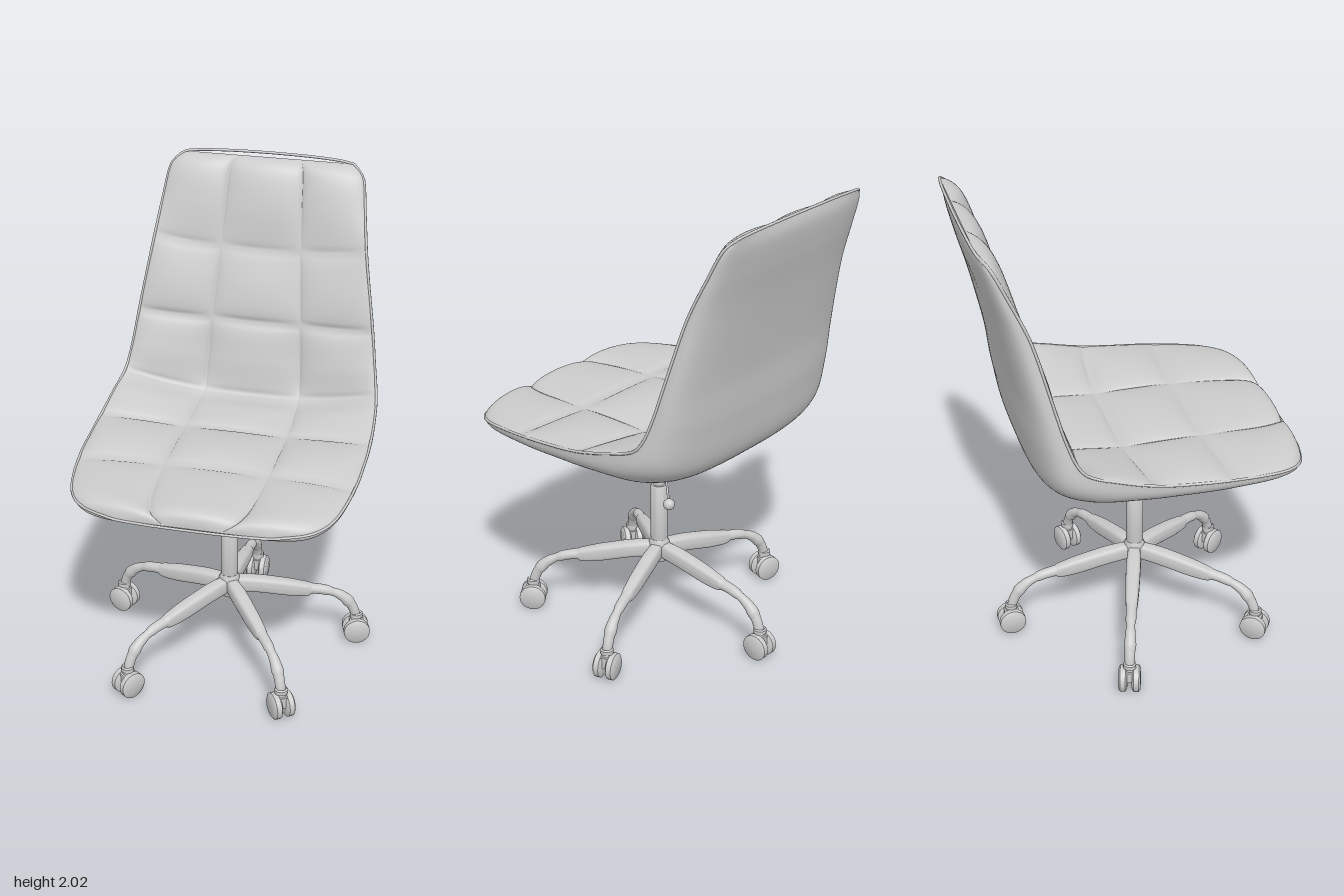
import * as THREE from 'three';
import { toCreasedNormals } from 'three/addons/utils/BufferGeometryUtils.js';

const material = new THREE.MeshStandardMaterial({ color: 0xcccccc });
const CENTRE_Z = 0.055; // column axis

function mesh(name, geometry, parent) {
  const m = new THREE.Mesh(geometry, material);
  m.name = name;
  parent.add(m);
  return m;
}

// Lathe with crisp edges, profile listed bottom to top as [radius, y]
function turned(profile, segments = 32) {
  const points = profile.map(([r, y]) => new THREE.Vector2(r, y));
  return toCreasedNormals(new THREE.LatheGeometry(points, segments), 0.6);
}

// Surface from a function of (row, column)
function surface(rows, cols, point, flip = false) {
  const position = [], index = [];
  for (let i = 0; i <= rows; i++)
    for (let j = 0; j <= cols; j++) position.push(...point(i, j));
  for (let i = 0; i < rows; i++)
    for (let j = 0; j < cols; j++) {
      const a = i * (cols + 1) + j, b = a + 1, c = a + cols + 1, d = c + 1;
      if (flip) index.push(a, c, b, b, c, d);
      else index.push(a, b, c, b, d, c);
    }
  const g = new THREE.BufferGeometry();
  g.setAttribute('position', new THREE.Float32BufferAttribute(position, 3));
  g.setIndex(index);
  g.computeVertexNormals();
  return g;
}

// Sections from seat front to top of backrest:
// rim z,y / cushion centre z,y / shell centre z,y / half width
const SECTIONS = [
  [0.66, 0.94, 0.66, 0.94, 0.66, 0.94, 0.30],
  [0.62, 0.955, 0.63, 0.97, 0.62, 0.905, 0.45],
  [0.52, 0.972, 0.52, 0.98, 0.50, 0.893, 0.53],
  [0.31, 0.995, 0.28, 0.995, 0.30, 0.890, 0.568],
  [0.14, 1.01, 0.11, 0.995, 0.10, 0.888, 0.575],
  [-0.02, 1.03, -0.06, 0.995, -0.10, 0.888, 0.575],
  [-0.18, 1.07, -0.22, 1.005, -0.30, 0.893, 0.565],
  [-0.30, 1.115, -0.345, 1.03, -0.44, 0.975, 0.55],
  [-0.355, 1.22, -0.40, 1.18, -0.49, 1.17, 0.53],
  [-0.395, 1.36, -0.425, 1.34, -0.515, 1.36, 0.51],
  [-0.435, 1.52, -0.465, 1.49, -0.55, 1.53, 0.483],
  [-0.48, 1.68, -0.505, 1.64, -0.59, 1.70, 0.457],
  [-0.55, 1.84, -0.55, 1.82, -0.628, 1.84, 0.433],
  [-0.605, 1.955, -0.60, 1.955, -0.65, 1.945, 0.412],
  [-0.645, 2.0, -0.645, 2.0, -0.645, 2.0, 0.36],
];
const ROW_SEAMS = [0, 3, 5, 7, 9, 11, 14];
const COLUMN_SEAMS = [-1, -0.38, 0.38, 1];

// Catmull-Rom blend of the section values
function section(s) {
  const last = SECTIONS.length - 1;
  const i = Math.min(Math.floor(s), last - 1), t = s - i;
  const [p0, p1, p2, p3] = [i - 1, i, i + 1, i + 2]
    .map((k) => SECTIONS[Math.max(0, Math.min(last, k))]);
  return p1.map((b, k) => {
    const a = p0[k], c = p2[k], d = p3[k];
    return b + 0.5 * t * (c - a + t * (2 * a - 5 * b + 4 * c - d + t * (3 * (b - c) + d - a)));
  });
}

// Pillow height within the seam cell that holds x: 0 on seams, 1 inside
function pillow(x, seams) {
  let k = 0;
  while (k < seams.length - 2 && x > seams[k + 1]) k++;
  const a = (2 * (x - seams[k])) / (seams[k + 1] - seams[k]) - 1;
  return Math.pow(Math.max(0, 1 - a * a), 0.55);
}

function buildSeat(parent) {
  const STEPS = 8, rows = (SECTIONS.length - 1) * STEPS, PER = 14;
  const mix = THREE.MathUtils.lerp;

  // Quilted cushion
  mesh('quiltedCushion', surface(rows, PER * 3, (i, j) => {
    const s = i / STEPS, [ez, ey, cz, cy, sz, sy, w] = section(s);
    const cell = Math.min(2, Math.floor(j / PER));
    const f = (1 - Math.cos((Math.PI * (j - cell * PER)) / PER)) / 2;
    const u = mix(COLUMN_SEAMS[cell], COLUMN_SEAMS[cell + 1], f);
    const k = 1 - Math.pow(Math.abs(u), 2.4);
    const len = Math.hypot(cz - sz, cy - sy) || 1;
    const puff = 0.034 * pillow(s, ROW_SEAMS) * pillow(u, COLUMN_SEAMS);
    return [u * w,
      mix(ey, cy, k) + (puff * (cy - sy)) / len,
      mix(ez, cz, k) + (puff * (cz - sz)) / len];
  }), parent);

  // Smooth outer shell
  const cols = 44;
  mesh('outerShell', surface(rows, cols, (i, j) => {
    const [ez, ey, , , sz, sy, w] = section(i / STEPS);
    const a = Math.PI * (1 - j / cols), c = Math.cos(a);
    const u = Math.sign(c) * Math.pow(Math.abs(c), 2 / 3);
    const k = Math.pow(Math.max(0, Math.sin(a)), 2 / 3);
    return [u * w, mix(ey, sy, k), mix(ez, sz, k)];
  }, true), parent);

  // Piping along the rim
  const rim = [];
  for (let s = 0; s <= 14; s += 0.5) {
    const [z, y, , , , , w] = section(s);
    rim.push(new THREE.Vector3(w, y, z));
  }
  const loop = [...rim, ...rim.map((p) => new THREE.Vector3(-p.x, p.y, p.z)).reverse()];
  const path = new THREE.CatmullRomCurve3(loop, true, 'centripetal');
  mesh('rimPiping', new THREE.TubeGeometry(path, 200, 0.006, 6, true), parent);
}

function buildColumn(parent) {
  mesh('mountingPlate', turned([[0, 0.84], [0.09, 0.84], [0.13, 0.865], [0.18, 0.88], [0.18, 0.895], [0, 0.895]], 40), parent);
  mesh('gasLift', turned([[0.025, 0.6], [0.025, 0.85]]), parent);
  mesh('columnSleeve', turned([[0.03, 0.34], [0.037, 0.38], [0.037, 0.625], [0.033, 0.632], [0, 0.632]]), parent);
  mesh('hub', turned([[0, 0.265], [0.035, 0.265], [0.042, 0.28], [0.045, 0.35], [0.036, 0.37], [0, 0.37]]), parent);

  // Height lever with ball knob
  const knobAt = new THREE.Vector3(0.222, 0.71, -0.19 - CENTRE_Z);
  const lever = new THREE.LineCurve3(new THREE.Vector3(0.05, 0.875, -0.06), knobAt);
  mesh('heightLever', new THREE.TubeGeometry(lever, 1, 0.005, 8), parent);
  mesh('leverKnob', new THREE.SphereGeometry(0.024, 20, 14), parent).position.copy(knobAt);
}

// Arm stations: reach, height, half width, half thickness
const ARM = [
  [0.01, 0.32, 0.026, 0.036], [0.12, 0.31, 0.032, 0.036], [0.25, 0.286, 0.030, 0.036],
  [0.33, 0.272, 0.026, 0.030], [0.37, 0.270, 0.023, 0.023], [0.43, 0.257, 0.022, 0.022],
  [0.49, 0.228, 0.022, 0.022], [0.53, 0.185, 0.022, 0.022], [0.55, 0.14, 0.021, 0.021],
  [0.555, 0.10, 0.020, 0.020],
];

function armGeometry() {
  const centre = new THREE.CatmullRomCurve3(ARM.map(([r, y]) => new THREE.Vector3(r, y, 0)));
  const size = new THREE.CatmullRomCurve3(ARM.map(([, , w, h]) => new THREE.Vector3(w, h, 0)));
  const rows = 45, cols = 20;
  return surface(rows, cols, (i, j) => {
    const t = i / rows, p = centre.getPoint(t), d = centre.getTangent(t), q = size.getPoint(t);
    const a = (2 * Math.PI * j) / cols;
    // squarish near the hub, round toward the caster
    const e = t < 0.4 ? 0.6 : 1;
    const c = Math.sign(Math.cos(a)) * Math.abs(Math.cos(a)) ** e * q.x;
    const n = Math.sign(Math.sin(a)) * Math.abs(Math.sin(a)) ** e * q.y;
    return [p.x - d.y * n, p.y + d.x * n, c];
  }, true);
}

function buildBase(parent) {
  const arm = armGeometry();
  const wheel = turned([[0, -0.018], [0.046, -0.018], [0.057, -0.011], [0.057, 0.011], [0.046, 0.018], [0, 0.018]], 28);
  wheel.rotateX(Math.PI / 2);
  const stem = turned([[0, 0.075], [0.022, 0.075], [0.022, 0.115], [0.027, 0.118], [0.027, 0.135], [0.02, 0.14]], 20);
  const bridge = new THREE.BoxGeometry(0.06, 0.05, 0.03);
  for (let k = 0; k < 5; k++) {
    const leg = new THREE.Group();
    leg.name = 'baseLeg';
    leg.rotation.y = Math.PI / 2 + (k * 2 * Math.PI) / 5;
    parent.add(leg);
    mesh('arm', arm, leg);
    const caster = new THREE.Group();
    caster.name = 'caster';
    caster.position.x = 0.558;
    leg.add(caster);
    mesh('casterStem', stem, caster);
    mesh('casterBridge', bridge, caster).position.y = 0.08;
    for (const side of [-1, 1]) mesh('wheel', wheel, caster).position.set(0, 0.058, side * 0.028);
  }
}

export function createModel() {
  const model = new THREE.Group();
  model.name = 'officeChair';
  const seat = new THREE.Group();
  seat.name = 'seat';
  const base = new THREE.Group();
  base.name = 'base';
  base.position.z = CENTRE_Z;
  model.add(seat, base);
  buildSeat(seat);
  buildColumn(base);
  buildBase(base);
  return model;
}
